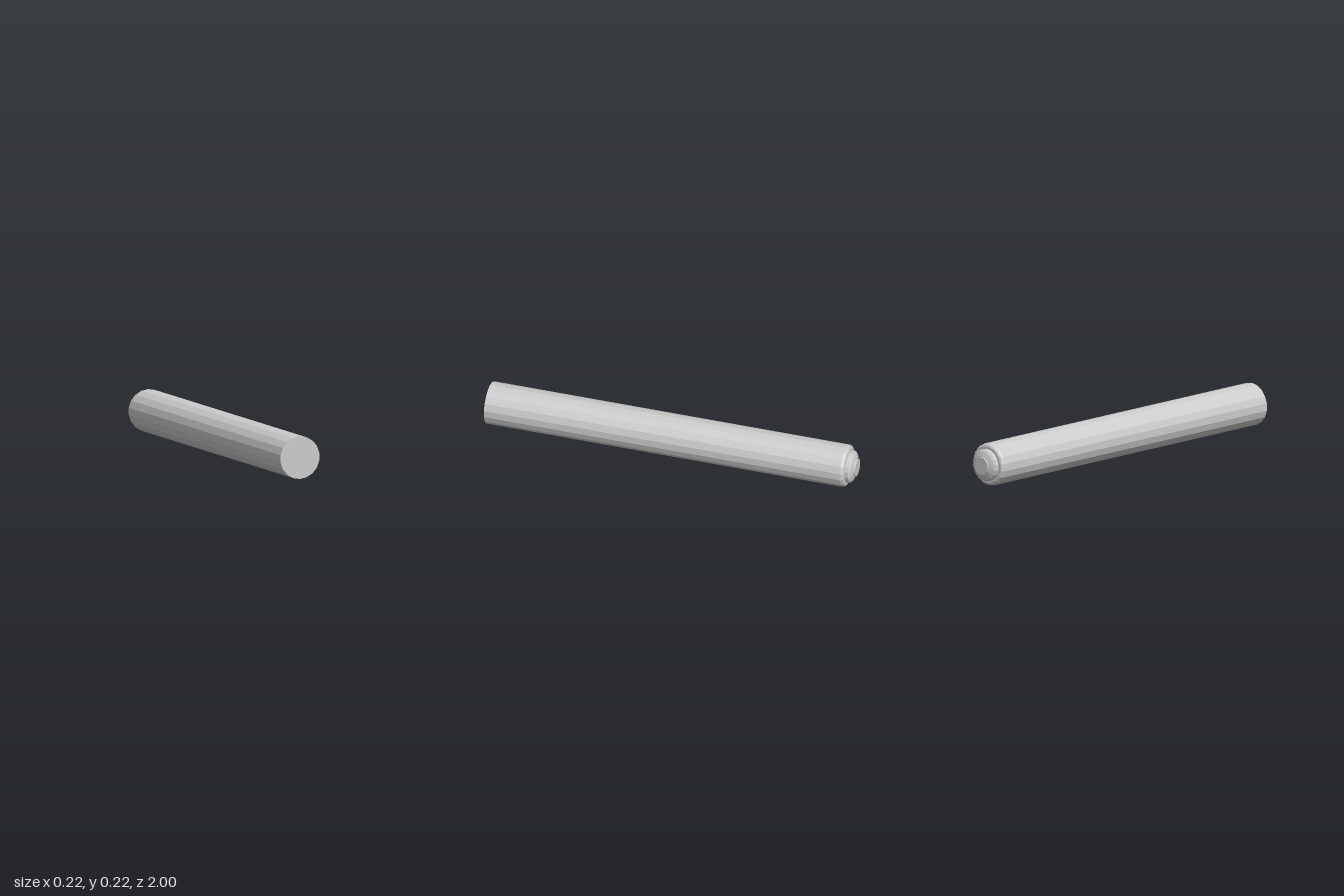
import * as THREE from 'three';

const SIDES = 18;
const RADIUS = 0.112;

export function createModel() {
  const model = new THREE.Group();
  model.name = 'rod';
  const material = new THREE.MeshStandardMaterial({ color: 0xcccccc, flatShading: true });

  // Turned part lying along z; profile is [radius, z] from back to front
  function turned(name, profile) {
    const points = profile.map(([r, z]) => new THREE.Vector2(r, z));
    const geometry = new THREE.LatheGeometry(points, SIDES);
    geometry.rotateX(Math.PI / 2);
    const mesh = new THREE.Mesh(geometry, material);
    mesh.name = name;
    mesh.position.y = RADIUS;
    model.add(mesh);
  }

  // Long barrel: flat front end, chamfered back rim
  turned('barrel', [
    [0, -0.955], [0.098, -0.955], [0.107, -0.95], [RADIUS, -0.937], [RADIUS, 1], [0, 1],
  ]);

  // Stepped end cap with a sloping shoulder
  turned('endCap', [
    [0, -0.992], [0.05, -0.992], [0.076, -0.982], [0.085, -0.974], [0.085, -0.95],
  ]);

  // Small raised disc on the cap
  turned('endDisc', [
    [0, -1], [0.047, -1], [0.047, -0.99],
  ]);

  return model;
}
